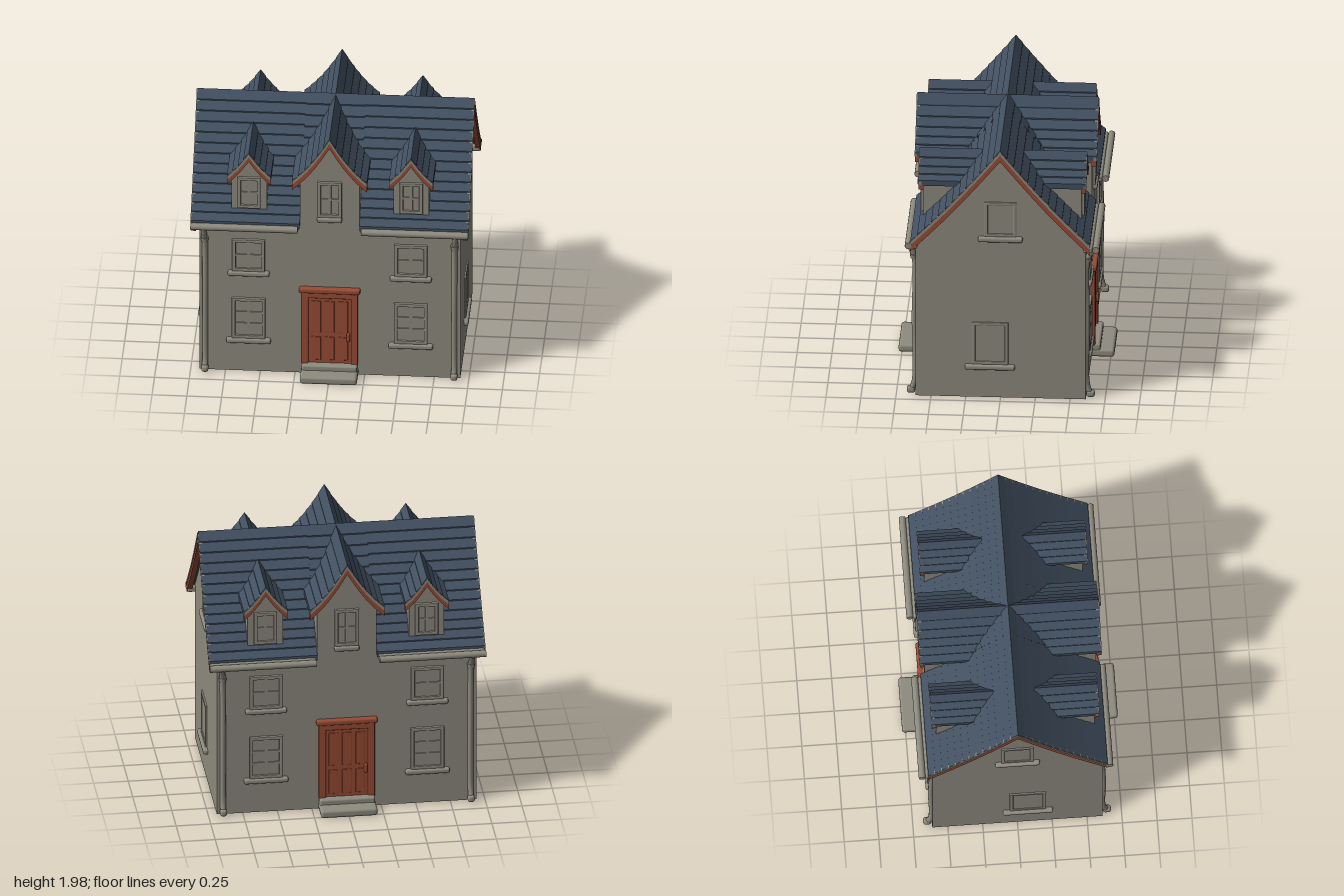
import * as THREE from 'three';
import { RoundedBoxGeometry } from 'three/addons/geometries/RoundedBoxGeometry.js';

const material = (name, color) => {
  const m = new THREE.MeshStandardMaterial({ color });
  m.name = name;
  return m;
};

export function createModel() {
  const house = new THREE.Group();
  house.name = 'house';
  const stone = material('stone', 0x8e8b7f);
  const slate = material('slate', 0x425061);
  const timber = material('painted timber', 0x984b34);

  const add = (parent, name, geometry, mat) => {
    const mesh = new THREE.Mesh(geometry, mat);
    mesh.name = name;
    parent.add(mesh);
    return mesh;
  };
  const box = (parent, name, mat, w, h, d, x, y, z, round = 0) => {
    const g = round ? new RoundedBoxGeometry(w, h, d, 2, round) : new THREE.BoxGeometry(w, h, d);
    add(parent, name, g, mat).position.set(x, y, z);
  };
  const group = (parent, name) => {
    const g = new THREE.Group();
    g.name = name;
    parent.add(g);
    return g;
  };
  const extrude = (points, from, to) => {
    const shape = new THREE.Shape(points.map(([x, y]) => new THREE.Vector2(x, y)));
    return new THREE.ExtrudeGeometry(shape, { depth: to - from, bevelEnabled: false }).translate(0, 0, from);
  };
  const mirrored = (right) => [...right, ...right.slice().reverse().filter(([x]) => x > 0).map(([x, y]) => [-x, y])];

  // Roof line: slightly sagging slope from the ridge (t = 0) to the eaves (t = 1)
  const slope = (r, t, lift = 0) => [r.half * t, r.apex + (r.eave - r.apex) * t - r.sag * Math.sin(Math.PI * t) + lift];

  // Joins upper and lower edges of one slope with their mirror images
  const bothSlopes = (top, under, from, to) => {
    const left = (p) => p.map(([x, y]) => [-x, y]);
    return extrude([...top, ...under.slice().reverse(), ...left(under).slice(1), ...left(top).reverse().slice(0, -1)], from, to);
  };
  const edge = (r, lift) => Array.from({ length: 9 }, (_, i) => slope(r, i / 8, lift));
  const band = (r, top, bottom, from, to) => bothSlopes(edge(r, top), edge(r, bottom), from, to);

  // Slate covering with stepped courses
  const slates = (r, courses, from, to) => {
    const top = [];
    for (let i = 0; i < courses; i++) {
      top.push(slope(r, i / courses, i ? 0.003 : 0.01), slope(r, (i + 1) / courses, 0.012));
    }
    return bothSlopes(top, edge(r, -0.03), from, to);
  };

  // Gabled wall block ending just below the roof line
  const gableWall = (r, half, bottom, from, to) => {
    const end = half / r.half;
    const right = [[half, bottom]];
    for (let i = 6; i >= 0; i--) right.push(slope(r, (end * i) / 6, -0.015));
    return extrude(mirrored(right).reverse(), from, to);
  };

  // Stone verge and painted bargeboard at both gable ends
  const gableTrim = (parent, r, length, board) => {
    for (const s of [-1, 1]) {
      const span = (a, b) => (s > 0 ? [a, b] : [-b, -a]);
      add(parent, 'verge', band(r, 0.004, -0.024, ...span(length - 0.025, length)), stone);
      add(parent, 'bargeboard', band(r, -0.024, -0.024 - board, ...span(length - 0.04, length - 0.004)), timber);
    }
  };

  // Main body and roof, with the ridge along x; the eaves stop at the cross gable
  const main = { half: 0.645, apex: 1.965, eave: 1.24, sag: 0.024 };
  const mainMiddle = { half: 0.42, apex: 1.965, eave: 1.475, sag: 0.008 };
  const body = group(house, 'mainBody');
  body.rotation.y = Math.PI / 2;
  add(body, 'walls', gableWall(main, 0.612, 0.005, -0.938, 0.938), stone);
  add(body, 'slates', slates(main, 13, -0.995, -0.215), slate);
  add(body, 'slates', slates(main, 13, 0.215, 0.995), slate);
  add(body, 'slates', slates(mainMiddle, 8, -0.215, 0.215), slate);
  gableTrim(body, main, 1.0, 0.05);

  // Central cross gable, running through from front to back
  const cross = { half: 0.27, apex: 1.955, eave: 1.605, sag: 0.032 };
  const crossGable = group(house, 'crossGable');
  add(crossGable, 'crossGableWall', gableWall(cross, 0.215, 1.1, -0.614, 0.614), stone);
  add(crossGable, 'slates', slates(cross, 6, -0.65, 0.65), slate);
  gableTrim(crossGable, cross, 0.655, 0.045);
  for (const s of [-1, 1]) box(crossGable, 'eavesBoard', timber, 0.03, 0.02, 1.26, s * 0.25, 1.572, 0);

  // Dormers, each pair sharing one ridge
  const small = { half: 0.158, apex: 1.79, eave: 1.6, sag: 0.014 };
  for (const x of [-0.583, 0.583]) {
    const dormer = group(house, 'dormer');
    dormer.position.x = x;
    add(dormer, 'dormerWall', gableWall(small, 0.127, 1.29, -0.57, 0.57), stone);
    add(dormer, 'slates', slates(small, 4, -0.6, 0.6), slate);
    gableTrim(dormer, small, 0.605, 0.038);
  }

  // Sash window facing +z: moulded surround, glazing bars, pane and optional sill
  const addWindow = (parent, x, y, z, w, h, rows, sill = 0, depth = 0.014) => {
    const win = group(parent, 'window');
    win.position.set(x, y, z);
    const rect = (T, a, b) => {
      const s = new T();
      s.moveTo(-a, -b).lineTo(a, -b).lineTo(a, b).lineTo(-a, b).closePath();
      return s;
    };
    const surround = rect(THREE.Shape, w / 2 + 0.02, h / 2 + 0.02);
    surround.holes.push(rect(THREE.Path, w / 2 + 0.006, h / 2 + 0.006));
    add(win, 'surround', new THREE.ExtrudeGeometry(surround, {
      depth, bevelThickness: 0.006, bevelSize: 0.006, bevelSegments: 2 }), stone);
    box(win, 'pane', stone, w, h, 0.006, 0, 0, 0.002);
    box(win, 'centreBar', stone, 0.022, h, depth, 0, 0, depth / 2);
    for (let i = 1; i < rows; i++) {
      box(win, 'crossBar', stone, w, 0.016, depth, 0, -h / 2 + (h * i) / rows, depth / 2 - 0.001);
    }
    if (sill) box(win, 'sill', stone, sill, 0.04, 0.05, 0, -h / 2 - 0.043, 0.008, 0.015);
  };

  // Front and back facades are alike
  for (const side of ['front', 'back']) {
    const facade = group(house, side + 'Facade');
    if (side === 'back') facade.rotation.y = Math.PI;
    const gutterZ = side === 'back' ? 0.688 : 0.66;

    addWindow(facade, 0, 1.45, 0.614, 0.125, 0.24, 2, 0.18);
    for (const s of [-1, 1]) {
      addWindow(facade, s * 0.583, 0.445, 0.612, 0.19, 0.28, 3, 0.32);
      addWindow(facade, s * 0.583, 0.965, 0.612, 0.185, 0.21, 2, 0.3);
      addWindow(facade, s * 0.583, 1.46, 0.57, 0.115, 0.2, 2);

      // Eaves: soffit and gutter
      box(facade, 'soffit', stone, 0.77, 0.05, 0.07, s * 0.61, 1.208, 0.63, 0.015);
      const gutter = add(facade, 'gutter', new THREE.CylinderGeometry(0.025, 0.025, 0.77, 12), stone);
      gutter.rotation.z = Math.PI / 2;
      gutter.position.set(s * 0.613, 1.21, gutterZ);

      // Downpipe with swan neck, collar and foot
      const path = new THREE.CatmullRomCurve3([
        [0.905, 1.2, gutterZ], [0.902, 1.15, 0.645], [0.898, 1.08, 0.62], [0.895, 0.6, 0.62],
        [0.895, 0.1, 0.62], [0.895, 0.03, 0.645],
      ].map(([x, y, z]) => new THREE.Vector3(s * x, y, z)));
      add(facade, 'downpipe', new THREE.TubeGeometry(path, 30, 0.021, 10), stone);
      add(facade, 'pipeCollar', new THREE.CylinderGeometry(0.03, 0.024, 0.035, 12), stone)
        .position.set(s * 0.898, 1.09, 0.624);
      box(facade, 'pipeFoot', stone, 0.05, 0.05, 0.06, s * 0.895, 0.035, 0.645, 0.018);
    }

    // Door with frame, lintel, raised panels and handle
    const door = group(facade, 'door');
    door.position.z = 0.612;
    box(door, 'doorLeaf', timber, 0.33, 0.56, 0.016, 0, 0.37, 0.004);
    for (const s of [-1, 1]) box(door, 'doorJamb', timber, 0.05, 0.6, 0.04, s * 0.177, 0.39, 0.006, 0.008);
    box(door, 'doorHead', timber, 0.4, 0.05, 0.04, 0, 0.66, 0.006, 0.008);
    box(door, 'lintel', timber, 0.44, 0.042, 0.06, 0, 0.7, 0.008, 0.014);
    for (const x of [-0.097, 0, 0.097]) {
      box(door, 'upperPanel', timber, 0.07, 0.26, 0.014, x, 0.48, 0.009, 0.005);
      box(door, 'lowerPanel', timber, 0.07, 0.19, 0.014, x, 0.22, 0.009, 0.005);
    }
    box(door, 'handle', timber, 0.025, 0.07, 0.03, 0.135, 0.32, 0.02, 0.01);

    // Doorstep
    box(facade, 'doorstep', stone, 0.41, 0.06, 0.2, 0, 0.03, 0.675, 0.02);
    box(facade, 'threshold', stone, 0.4, 0.09, 0.09, 0, 0.055, 0.63, 0.015);
  }

  // Gable end windows
  for (const s of [-1, 1]) {
    const end = group(house, s > 0 ? 'leftGableEnd' : 'rightGableEnd');
    end.rotation.y = (s * Math.PI) / 2;
    addWindow(end, 0, 1.41, 0.938, 0.18, 0.22, 2, 0.32, 0.006);
    addWindow(end, -s * 0.075, 0.43, 0.938, 0.21, 0.28, 3, 0.36, 0.006);
  }
  return house;
}
